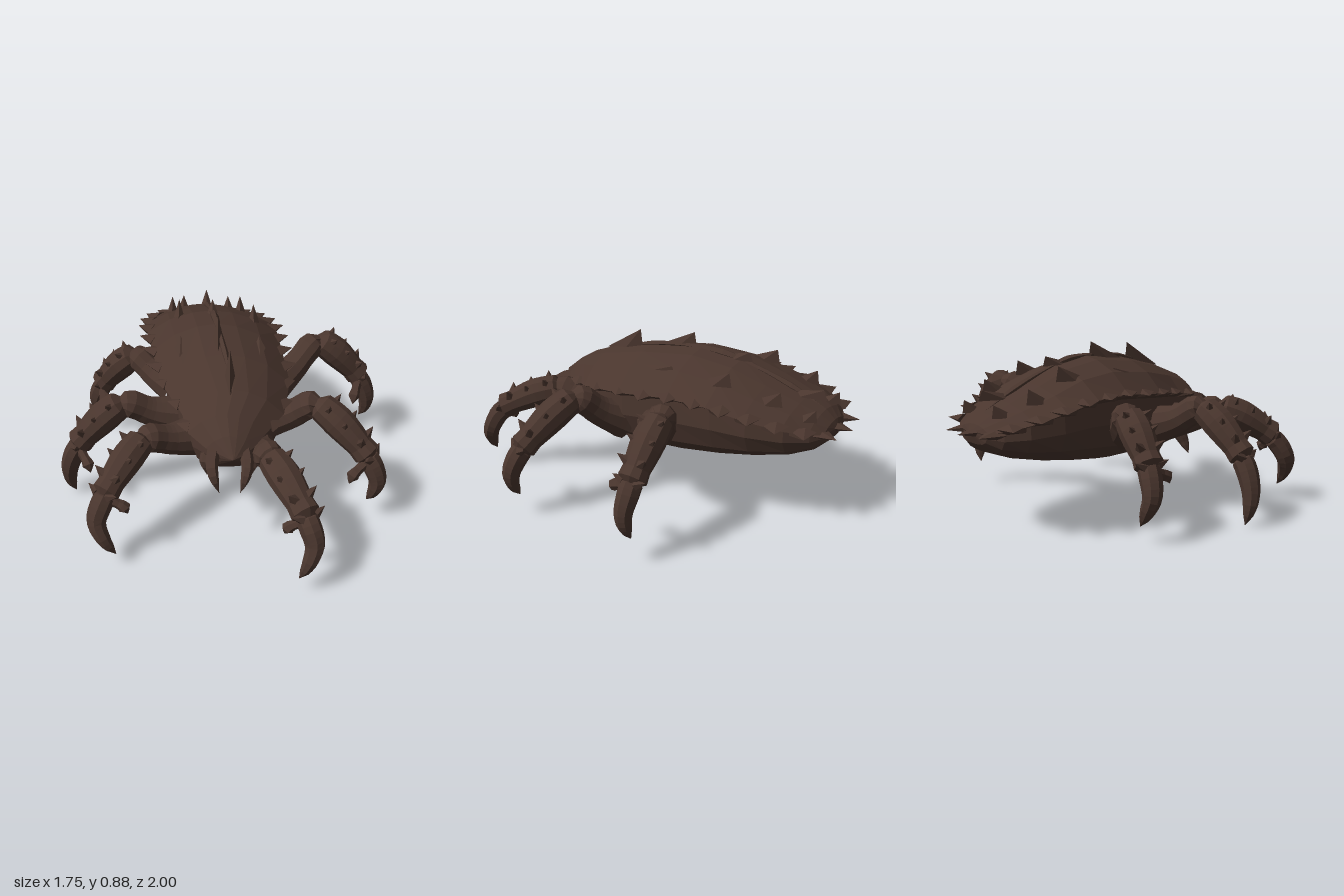
import * as THREE from 'three';

// Body stations: z, rim left x, rim right x, ridge y, rim y, belly y
const STATIONS = [
  [0.67, 0.04, 0.04, 0.545, 0.545, 0.545],
  [0.65, 0.01, 0.07, 0.56, 0.545, 0.52],
  [0.58, -0.09, 0.14, 0.62, 0.55, 0.44],
  [0.48, -0.18, 0.21, 0.68, 0.57, 0.36],
  [0.35, -0.21, 0.30, 0.735, 0.59, 0.31],
  [0.10, -0.33, 0.345, 0.79, 0.62, 0.28],
  [-0.18, -0.39, 0.32, 0.815, 0.645, 0.28],
  [-0.40, -0.43, 0.305, 0.78, 0.64, 0.305],
  [-0.58, -0.45, 0.27, 0.71, 0.605, 0.335],
  [-0.75, -0.41, 0.19, 0.64, 0.56, 0.37],
  [-0.85, -0.33, 0.09, 0.59, 0.525, 0.405],
  [-0.90, -0.25, 0.01, 0.545, 0.51, 0.45],
  [-0.92, -0.12, -0.12, 0.505, 0.505, 0.505],
];
const ROOF = [[0, 1], [0.3, 0.9], [0.65, 0.6], [1, 0]];

const V = (p) => new THREE.Vector3(...p);

function stationAt(z) {
  let i = 0;
  while (i < STATIONS.length - 2 && STATIONS[i + 1][0] > z) i++;
  const a = STATIONS[i], b = STATIONS[i + 1];
  const t = THREE.MathUtils.clamp((z - a[0]) / (b[0] - a[0]), 0, 1);
  const [, l, r, top, rim, belly] = a.map((v, k) => v + (b[k] - v) * t);
  return { cx: (l + r) / 2, w: (r - l) / 2, top, rim, belly };
}

function shellY(x, z) {
  const s = stationAt(z);
  const t = Math.min(1, Math.abs(x - s.cx) / s.w);
  const i = t < 0.3 ? 0 : t < 0.65 ? 1 : 2;
  const [a, b] = [ROOF[i], ROOF[i + 1]];
  const h = a[1] + (b[1] - a[1]) * (t - a[0]) / (b[0] - a[0]);
  return s.rim + (s.top - s.rim) * h;
}

// Closed skin through equal rings, each running counterclockwise seen from +z
function loft(rings) {
  const n = rings[0].length, index = [];
  for (let i = 0; i < rings.length - 1; i++) {
    for (let j = 0; j < n; j++) {
      const a = i * n + j, b = i * n + (j + 1) % n;
      index.push(a, a + n, b, b, a + n, b + n);
    }
  }
  const g = new THREE.BufferGeometry();
  g.setAttribute('position', new THREE.Float32BufferAttribute(rings.flat(2), 3));
  g.setIndex(index);
  g.computeVertexNormals();
  return g;
}

// Tube whose radius follows a list of values along its length
function taperedTube(points, radii, segments = 10, sides = 8) {
  const curve = new THREE.CatmullRomCurve3(points);
  const g = new THREE.TubeGeometry(curve, segments, 1, sides, false);
  const pos = g.attributes.position, v = new THREE.Vector3();
  for (let i = 0; i <= segments; i++) {
    const c = curve.getPointAt(i / segments);
    const f = (i / segments) * (radii.length - 1);
    const k = Math.min(Math.floor(f), radii.length - 2);
    const r = radii[k] + (radii[k + 1] - radii[k]) * (f - k);
    for (let j = 0; j <= sides; j++) {
      const n = i * (sides + 1) + j;
      v.fromBufferAttribute(pos, n).sub(c).multiplyScalar(r).add(c);
      pos.setXYZ(n, v.x, v.y, v.z);
    }
  }
  g.computeVertexNormals();
  return g;
}

export function createModel() {
  const model = new THREE.Group();
  const brown = new THREE.MeshStandardMaterial({ color: 0x4a362e, flatShading: true });
  brown.name = 'dark brown shell';

  function add(parent, name, geometry) {
    const mesh = new THREE.Mesh(geometry, brown);
    mesh.name = name;
    parent.add(mesh);
    return mesh;
  }
  function spike(parent, name, base, dir, length, radius, squash = 1) {
    const g = new THREE.ConeGeometry(radius, length, 5);
    g.translate(0, length / 2, 0);
    g.applyQuaternion(new THREE.Quaternion().setFromUnitVectors(new THREE.Vector3(0, 1, 0), dir.clone().normalize()));
    g.scale(1, squash, 1);
    add(parent, name, g).position.copy(base);
  }

  // Domed shell with an overhanging rim, and the rounded belly beneath
  const roofSide = ROOF.slice(1, 3).reverse();
  const body = STATIONS.map(([z]) => {
    const { cx, w, top, rim, belly } = stationAt(z);
    const h = top - rim, d = rim - belly;
    const half = [[1, rim], ...roofSide.map(([t, k]) => [t, rim + h * k])];
    const under = [[0.3, belly + d * 0.015], [0.56, belly + d * 0.08], [0.77, belly + d * 0.27],
      [0.88, belly + d * 0.6], [0.86, rim - d * 0.08]];
    const mirror = (list) => list.slice().reverse().map(([t, y]) => [-t, y]);
    return [...half, [0, top], ...mirror(half), ...mirror(under), [0, belly], ...under]
      .map(([t, y]) => [cx + t * w, y, z]);
  });
  add(model, 'body', loft(body));

  // Broad flat thorns down both sides of the rim
  const thorns = new THREE.Group();
  thorns.name = 'rimThorns';
  model.add(thorns);
  for (const side of [-1, 1]) {
    [0.42, 0.26, 0.1, -0.04, -0.18, -0.32, -0.46, -0.59, -0.71, -0.82].forEach((z, i) => {
      const s = stationAt(z);
      spike(thorns, 'rimThorn', new THREE.Vector3(s.cx + side * s.w * 0.9, s.rim, z),
        new THREE.Vector3(side, 0.04, -0.1 - i * 0.06), i < 3 ? 0.065 : i < 7 ? 0.1 : 0.09, 0.075, 0.34);
    });
  }
  // Tail thorns
  for (const [x, z, dx] of [[-0.25, -0.86, -0.25], [-0.13, -0.88, 0], [-0.01, -0.86, 0.25]]) {
    spike(thorns, 'tailThorn', new THREE.Vector3(x, 0.505, z), new THREE.Vector3(dx, -0.05, -1), 0.115, 0.065, 0.4);
  }

  // Keel down the middle of the back
  const keel = [0.28, 0.1, -0.1, -0.3, -0.5, -0.7, -0.84].map((z) => {
    const s = stationAt(z);
    return new THREE.Vector3(s.cx, s.top, z);
  });
  add(model, 'keel', taperedTube(keel, [0, 0.018, 0.014, 0.024, 0.012, 0.02, 0], 24, 5));

  // Back fins: x, z, length, height; the crest leans to the rear
  const fins = [
    [0.03, 0.27, 0.24, 0.11], [-0.03, -0.03, 0.24, 0.085], [-0.06, -0.36, 0.2, 0.04],
    [-0.1, -0.72, 0.28, 0.04], [-0.25, -0.42, 0.2, 0.06], [0.17, -0.38, 0.18, 0.06],
    [-0.30, -0.65, 0.15, 0.06], [0.10, -0.63, 0.17, 0.06], [-0.24, -0.81, 0.13, 0.05],
    [0.03, -0.81, 0.12, 0.05], [-0.23, -0.06, 0.2, 0.02], [0.19, -0.05, 0.2, 0.02],
  ];
  for (const [x, z, length, height] of fins) {
    const g = new THREE.ConeGeometry(1, 1, 4);
    g.translate(0, 0.3, 0);
    const p = g.attributes.position;
    for (let i = 0; i < p.count; i++) if (p.getY(i) > 0.5) p.setZ(i, -0.85);
    g.scale(0.032, height * 1.25, length / 2);
    add(model, 'backFin', g).position.set(x, shellY(x, z), z);
  }

  // Legs: hip, knee, ankle, claw bend, claw tip
  const legs = {
    frontLeftLeg: [[0.14, 0.45, 0.38], [0.22, 0.5, 0.58], [0.385, 0.37, 0.88], [0.42, 0.25, 0.935], [0.35, 0.08, 0.98]],
    middleLeftLeg: [[0.22, 0.42, 0.15], [0.47, 0.6, 0.27], [0.74, 0.37, 0.42], [0.785, 0.25, 0.45], [0.74, 0.11, 0.44]],
    backLeftLeg: [[0.24, 0.44, -0.08], [0.53, 0.645, -0.3], [0.78, 0.41, -0.3], [0.83, 0.27, -0.29], [0.80, 0.13, -0.31]],
    frontRightLeg: [[-0.14, 0.43, 0.3], [-0.4, 0.52, 0.46], [-0.58, 0.36, 0.7], [-0.62, 0.24, 0.755], [-0.53, 0.07, 0.8]],
    middleRightLeg: [[-0.24, 0.44, 0.13], [-0.52, 0.56, 0.2], [-0.77, 0.33, 0.245], [-0.825, 0.18, 0.24], [-0.81, 0, 0.22]],
    backRightLeg: [[-0.26, 0.45, -0.12], [-0.5, 0.56, -0.28], [-0.7, 0.35, -0.32], [-0.74, 0.22, -0.34], [-0.67, 0.07, -0.35]],
  };
  for (const [name, path] of Object.entries(legs)) {
    const leg = new THREE.Group();
    leg.name = name;
    model.add(leg);
    const [hip, knee, ankle, bend, tip] = path.map(V);
    const mid = (a, b, t, lift) => a.clone().lerp(b, t).add(new THREE.Vector3(0, lift, 0));
    const along = ankle.clone().sub(knee).normalize();
    const beyond = knee.clone().addScaledVector(along, 0.05);

    add(leg, 'upperLeg', taperedTube([hip, mid(hip, knee, 0.5, -0.015), knee, beyond],
      [0.11, 0.094, 0.08, 0.072, 0.076, 0], 12, 10));
    const shinEnd = ankle.clone().addScaledVector(along, 0.03);
    add(leg, 'shin', taperedTube([knee.clone().addScaledVector(along, -0.03), mid(knee, ankle, 0.4, 0.02), shinEnd],
      [0, 0.074, 0.08, 0.083, 0.08, 0.074, 0.067, 0.072, 0], 16, 10));
    const clawRoot = ankle.clone().addScaledVector(along, -0.05);
    add(leg, 'claw', taperedTube([clawRoot, mid(ankle, bend, 0.3, 0), bend,
      mid(bend, tip, 0.5, 0).addScaledVector(bend.clone().sub(ankle).setY(0), 0.25), tip],
      [0, 0.055, 0.055, 0.051, 0.045, 0.038, 0.025, 0], 14));

    // Two rows of thorns along the outside of the shin
    const side = new THREE.Vector3().crossVectors(along, new THREE.Vector3(0, 1, 0)).normalize();
    const up = new THREE.Vector3().crossVectors(side, along).normalize();
    for (const s of [-1, 1]) {
      for (const t of [0.2, 0.5, 0.8, 1.02]) {
        const dir = up.clone().multiplyScalar(t < 1 ? 0.8 : 0.3).addScaledVector(side, s * 0.75).addScaledVector(along, -0.15);
        spike(leg, 'shinThorn', mid(knee, ankle, t, t < 1 ? 0.015 : 0).addScaledVector(dir, 0.05), dir, 0.06, 0.028);
      }
    }
    // Small pincer opposing the claw, on the forward side of the ankle
    const forward = side.clone().multiplyScalar(Math.sign(side.z));
    const inward = hip.clone().sub(ankle).setY(0).normalize();
    const reach = name.startsWith('front') ? 0.7 : 1;
    const spur = [[0, 0], [0.07, -0.03], [0.11, -0.05], [0.13, -0.09]].map(([k, y]) =>
      ankle.clone().addScaledVector(forward, k * reach).addScaledVector(inward, k * 0.4).add(new THREE.Vector3(0, y - 0.01, 0)));
    add(leg, 'innerPincer', taperedTube(spur, [0.036, 0.026, 0.024, 0.032, 0], 8, 6));
  }

  // Mouth fangs beneath the snout
  for (const s of [-1, 1]) {
    const fang = [[0.07, 0.54, 0.55], [0.085, 0.51, 0.67], [0.07, 0.45, 0.71], [0.05, 0.38, 0.71]]
      .map(([x, y, z]) => new THREE.Vector3(0.025 + s * x, y, z));
    add(model, 'fang', taperedTube(fang, [0.035, 0.032, 0.024, 0], 8, 6));
    const feeler = [[0.1, 0.5, 0.5], [0.12, 0.46, 0.56], [0.11, 0.38, 0.57]]
      .map(([x, y, z]) => new THREE.Vector3(0.025 + s * x, y, z));
    add(model, 'mouthFeeler', taperedTube(feeler, [0.03, 0.028, 0], 6, 6));
  }
  return model;
}
